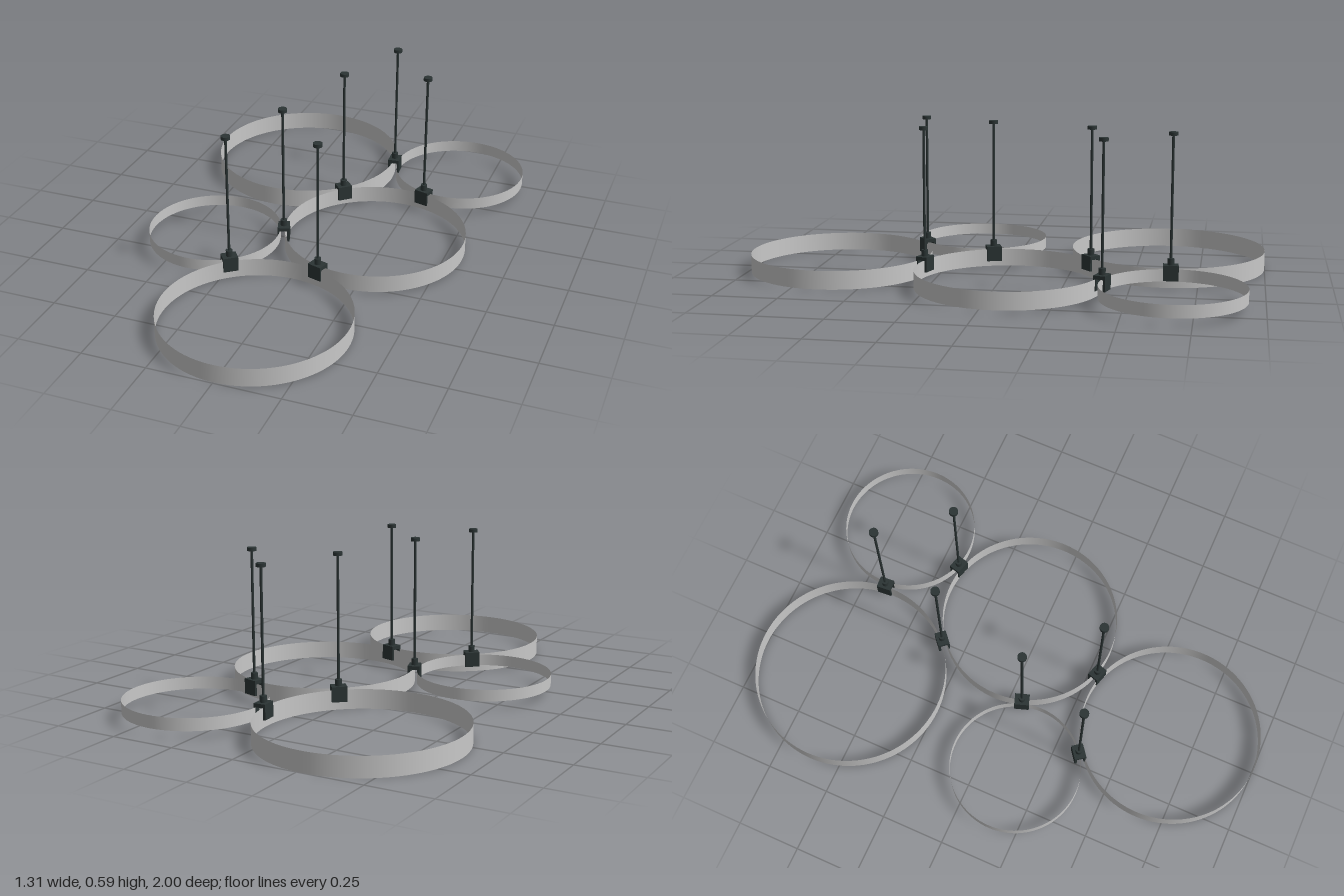
import * as THREE from 'three';

export function createModel() {
  const model = new THREE.Group();
  const ringMat = new THREE.MeshStandardMaterial({ color: 0xc8c8c8, side: THREE.DoubleSide });
  ringMat.name = 'light grey band';
  const darkMat = new THREE.MeshStandardMaterial({ color: 0x2b3434 });
  darkMat.name = 'dark metal';

  // Thin open bands: centre x, z, radius, bottom, top
  const rings = {
    frontRing: [0.005, 0.645, 0.355, 0.004, 0.075],
    middleRing: [0.22, -0.055, 0.353, 0.01, 0.077],
    backRing: [-0.275, -0.62, 0.38, 0, 0.075],
    leftSmallRing: [-0.373, 0.145, 0.257, 0.033, 0.077],
    rightSmallRing: [0.389, -0.672, 0.266, 0.03, 0.077],
  };
  for (const [name, [x, z, r, y0, y1]] of Object.entries(rings)) {
    const ring = new THREE.Mesh(new THREE.CylinderGeometry(r, r, y1 - y0, 96, 1, true), ringMat);
    ring.name = name;
    ring.position.set(x, (y0 + y1) / 2, z);
    model.add(ring);
  }

  const box = (parent, name, w, d, y0, y1, x = 0) => {
    const mesh = new THREE.Mesh(new THREE.BoxGeometry(w, y1 - y0, d), darkMat);
    mesh.name = name;
    mesh.position.set(x, (y0 + y1) / 2, 0);
    parent.add(mesh);
  };
  const rod = (parent, name, r, y0, y1, sides = 16) => {
    const mesh = new THREE.Mesh(new THREE.CylinderGeometry(r, r, y1 - y0, sides), darkMat);
    mesh.name = name;
    mesh.position.y = (y0 + y1) / 2;
    parent.add(mesh);
  };

  // Hangers: a clip saddling two neighbouring bands, with a rod and ceiling cap
  const hangers = [
    [0.11, -0.65, 'backRing', 'rightSmallRing'],
    [0.31, -0.413, 'middleRing', 'rightSmallRing'],
    [-0.012, -0.338, 'middleRing', 'backRing'],
    [-0.117, 0.06, 'middleRing', 'leftSmallRing'],
    [0.11, 0.288, 'frontRing', 'middleRing'],
    [-0.222, 0.35, 'frontRing', 'leftSmallRing'],
  ];
  for (const [x, z, a, b] of hangers) {
    const hanger = new THREE.Group();
    hanger.name = 'hanger';
    hanger.position.set(x, 0, z);
    // Local x runs from one ring centre to the other
    hanger.rotation.y = -Math.atan2(rings[b][1] - rings[a][1], rings[b][0] - rings[a][0]);
    box(hanger, 'clipPlate', 0.046, 0.058, 0.077, 0.091);
    for (const s of [-1, 1]) box(hanger, 'clipCheek', 0.009, 0.058, 0.033, 0.077, s * 0.0185);
    rod(hanger, 'collar', 0.013, 0.091, 0.115);
    rod(hanger, 'rod', 0.005, 0.115, 0.578, 12);
    rod(hanger, 'ceilingCap', 0.0175, 0.577, 0.59, 20);
    model.add(hanger);
  }
  return model;
}
